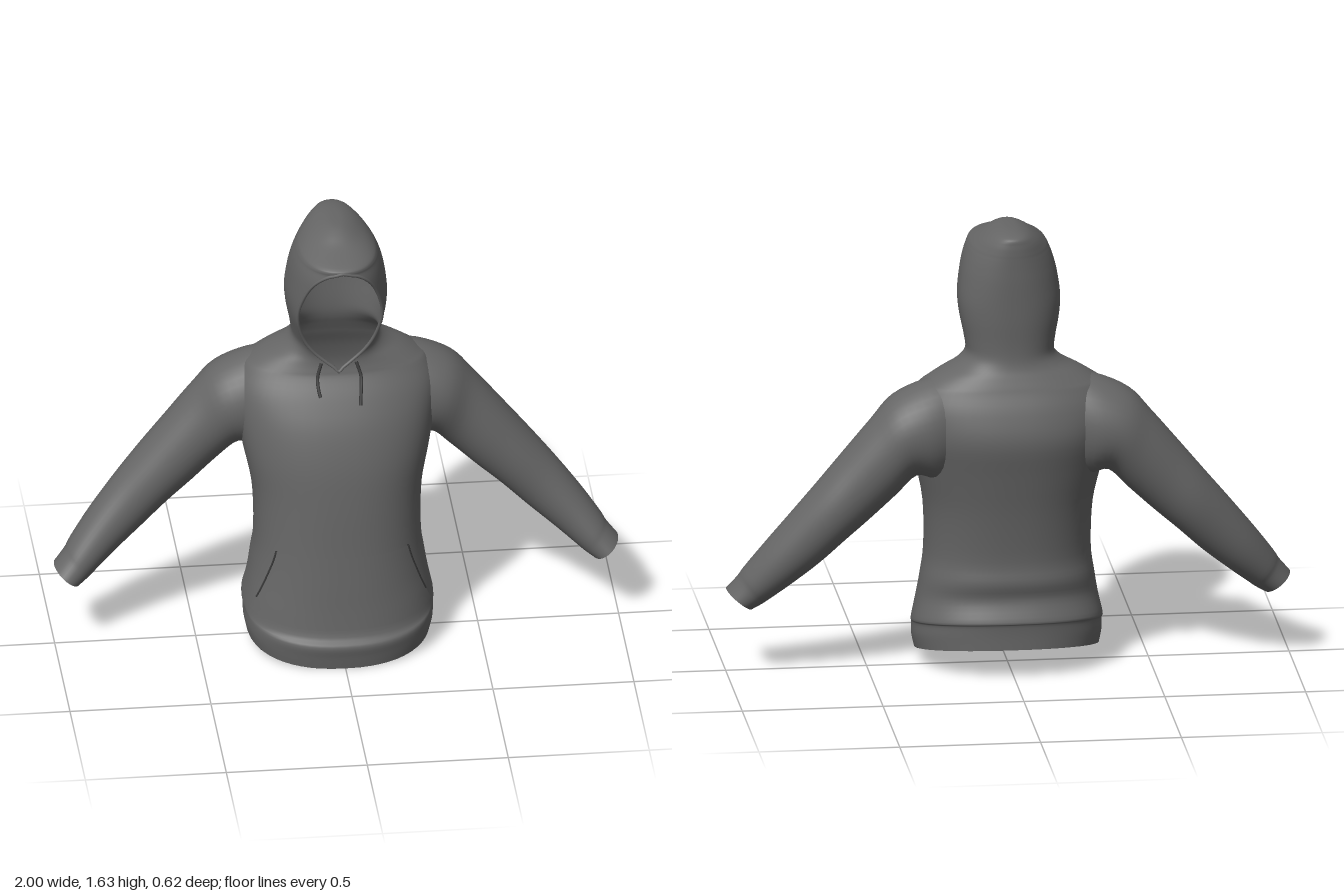
import * as THREE from 'three';
import { mergeVertices } from 'three/addons/utils/BufferGeometryUtils.js';

const TAU = Math.PI * 2;
const ROUND = 0.88; // below 1 makes the rings slightly boxy

// Body and hood rings: height, half width, front z, back z, half opening, rise towards the back
const BODY = [
  [0, .325, .295, -.24, 0, .11], [.045, .335, .303, -.24, 0, .115], [.09, .335, .31, -.243, 0, .11],
  [.12, .338, .287, -.25, 0, .095], [.2, .322, .275, -.222, 0, .085], [.3, .308, .265, -.235, 0, .05],
  [.43, .295, .252, -.228, 0, 0], [.6, .3, .237, -.25, 0, 0], [.75, .33, .217, -.28, 0, 0],
  [.88, .355, .18, -.305, 0, 0], [.98, .36, .13, -.285, 0, 0], [1.05, .33, .085, -.255, 0, 0],
];
const HOOD = [
  [1.075, .3, .075, -.245, 0, 0], [1.105, .25, .068, -.232, .035, 0], [1.135, .19, .066, -.22, .07, 0],
  [1.17, .157, .07, -.213, .1, 0], [1.22, .16, .08, -.212, .127, 0], [1.3, .175, .105, -.216, .148, 0],
  [1.37, .18, .127, -.218, .145, 0], [1.45, .17, .16, -.22, .12, 0], [1.5, .158, .187, -.22, .09, 0],
  [1.53, .147, .205, -.22, .05, 0], [1.545, .14, .215, -.22, 0, 0], [1.56, .13, .2, -.22, 0, 0],
  [1.59, .1, .11, -.218, 0, 0], [1.615, .065, .06, -.208, 0, 0], [1.628, .03, .02, -.14, 0, 0],
  [1.63, 0, -.04, -.041, 0, 0],
];
const RINGS = [...BODY, ...HOOD];

// Sleeve rings: top x, top y, bottom x, bottom y, front z, back z
const SLEEVE = [
  [.18, 1.1, .2, .74, .02, -.23], [.3, 1.08, .27, .72, .04, -.262], [.42, 1.025, .34, .735, .035, -.265],
  [.5, .94, .41, .67, .005, -.25], [.6, .82, .5, .585, 0, -.235], [.69, .71, .59, .505, 0, -.225],
  [.78, .6, .68, .42, .002, -.2], [.87, .485, .775, .34, .02, -.17], [.94, .388, .85, .278, .043, -.135],
  [.962, .352, .877, .256, .05, -.118], [1, .305, .91, .235, .064, -.105],
];

// Smooth interpolation between rows of a ring table
function sample(rows, s) {
  const last = rows.length - 1;
  const i = Math.min(Math.floor(s), last - 1), t = s - i;
  const [a, b, c, d] = [i - 1, i, i + 1, i + 2].map((k) => rows[Math.min(Math.max(k, 0), last)]);
  return b.map((p, k) => p + 0.5 * t * (c[k] - a[k]
    + t * (2 * a[k] - 5 * p + 4 * c[k] - d[k] + t * (3 * (p - c[k]) + d[k] - a[k]))));
}

const power = (v) => Math.sign(v) * Math.abs(v) ** ROUND;

// Point on the body; angle 0 is the front, and no point falls inside the face opening
function bodyPoint(s, place, grow = 0) {
  const [y, w, zf, zb, open, rise] = sample(RINGS, s);
  const gap = w > 1e-4 ? Math.asin(Math.min(.95, (Math.max(open, 0) / w) ** (1 / ROUND))) : 0;
  const angle = place(gap);
  const mid = (zf + zb) / 2, half = (zf - zb) / 2;
  const cos = Math.cos(angle);
  const z = mid + half * power(cos) * (cos > 0 ? 1 / power(Math.cos(gap)) : 1);
  return new THREE.Vector3(
    (w + grow) * power(Math.sin(angle)),
    y + rise * (zf - z) / (zf - zb),
    z + grow * cos);
}
const around = (s, u) => bodyPoint(s, (gap) => gap + u * (TAU - 2 * gap));

// Grid surface from a point function of row and column
function surface(rows, cols, point) {
  const positions = [], index = [];
  for (let i = 0; i <= rows; i++) {
    for (let j = 0; j <= cols; j++) positions.push(...point(i / rows, j / cols).toArray());
  }
  for (let i = 0; i < rows; i++) {
    for (let j = 0; j < cols; j++) {
      const a = i * (cols + 1) + j, d = a + cols + 1;
      index.push(a, a + 1, d + 1, a, d + 1, d);
    }
  }
  const geometry = new THREE.BufferGeometry();
  geometry.setAttribute('position', new THREE.Float32BufferAttribute(positions, 3));
  geometry.setIndex(index);
  const merged = mergeVertices(geometry, 1e-4);
  merged.computeVertexNormals();
  return merged;
}

// Flat lid from an edge function to the middle of the edge
function lid(edge) {
  const middle = edge(0).add(edge(.5)).multiplyScalar(.5);
  return surface(1, 48, (v, u) => edge(u).lerp(middle, v));
}

function cord(points, radius, closed = false) {
  return new THREE.TubeGeometry(new THREE.CatmullRomCurve3(points, closed), closed ? 120 : 20, radius, 8, closed);
}

export function createModel() {
  const group = new THREE.Group();
  const material = (name, color) => {
    const m = new THREE.MeshStandardMaterial({ color, side: THREE.DoubleSide });
    m.name = name;
    return m;
  };
  const cloth = material('grey cloth', 0x666666);
  const dark = material('dark grey cord', 0x3a3a3a);
  const black = material('black inside', 0x050505);
  const add = (name, geometry, mat) => {
    const mesh = new THREE.Mesh(geometry, mat);
    mesh.name = name;
    group.add(mesh);
  };

  // Torso and hood in one smooth skin
  const top = RINGS.length - 1;
  add('torsoAndHood', surface(top * 4, 56, (v, u) => around(v * top, u)), cloth);
  add('hemOpening', lid((u) => around(0, 1 - u)), black);

  // Rolled edge of the face opening
  const first = BODY.length, rim = [];
  for (let s = first; s <= first + 10; s += .5) rim.push(around(s, 0));
  for (let s = first + 9.5; s > first; s -= .5) rim.push(around(s, 1));
  add('hoodRim', cord(rim, .006, true), cloth);

  // Front pocket panel, narrower at the top
  const pocketAngle = (v) => 1.23 - .38 * v;
  const pocketRow = (v) => 3.4 + 2.55 * v;
  add('pocket', surface(12, 32, (v, u) =>
    bodyPoint(pocketRow(v), () => (2 * u - 1) * pocketAngle(v), .006)), cloth);

  for (const side of [1, -1]) {
    const label = side > 0 ? 'left' : 'right';

    // Sleeve with a closed cuff
    const sleevePoint = (s, u) => {
      const [tx, ty, bx, by, zf, zb] = sample(SLEEVE, s);
      const a = u * TAU * side, c = Math.cos(a) / 2;
      return new THREE.Vector3(
        side * ((tx + bx) / 2 + (tx - bx) * c),
        (ty + by) / 2 + (ty - by) * c,
        (zf + zb) / 2 + (zf - zb) / 2 * Math.sin(a));
    };
    const end = SLEEVE.length - 1;
    add(label + 'Sleeve', surface(end * 4, 36, (v, u) => sleevePoint(v * end, u)), cloth);
    add(label + 'CuffEnd', lid((u) => sleevePoint(end, u)), cloth);

    // Pocket slit
    const slit = [0.25, .45, .65, .85, 1].map((v) =>
      bodyPoint(pocketRow(v), () => side * pocketAngle(v), .005));
    add(label + 'PocketSlit', cord(slit, .004), dark);

    // Drawstring hanging from the collar
    const low = side > 0 ? .97 : 1.0;
    add(label + 'Drawstring', cord([
      new THREE.Vector3(side * .062, 1.11, .07), new THREE.Vector3(side * .077, 1.06, .086),
      new THREE.Vector3(side * .075, 1.02, .11), new THREE.Vector3(side * .07, low, low < 1 ? .137 : .122),
    ], .006), dark);
  }
  return group;
}
